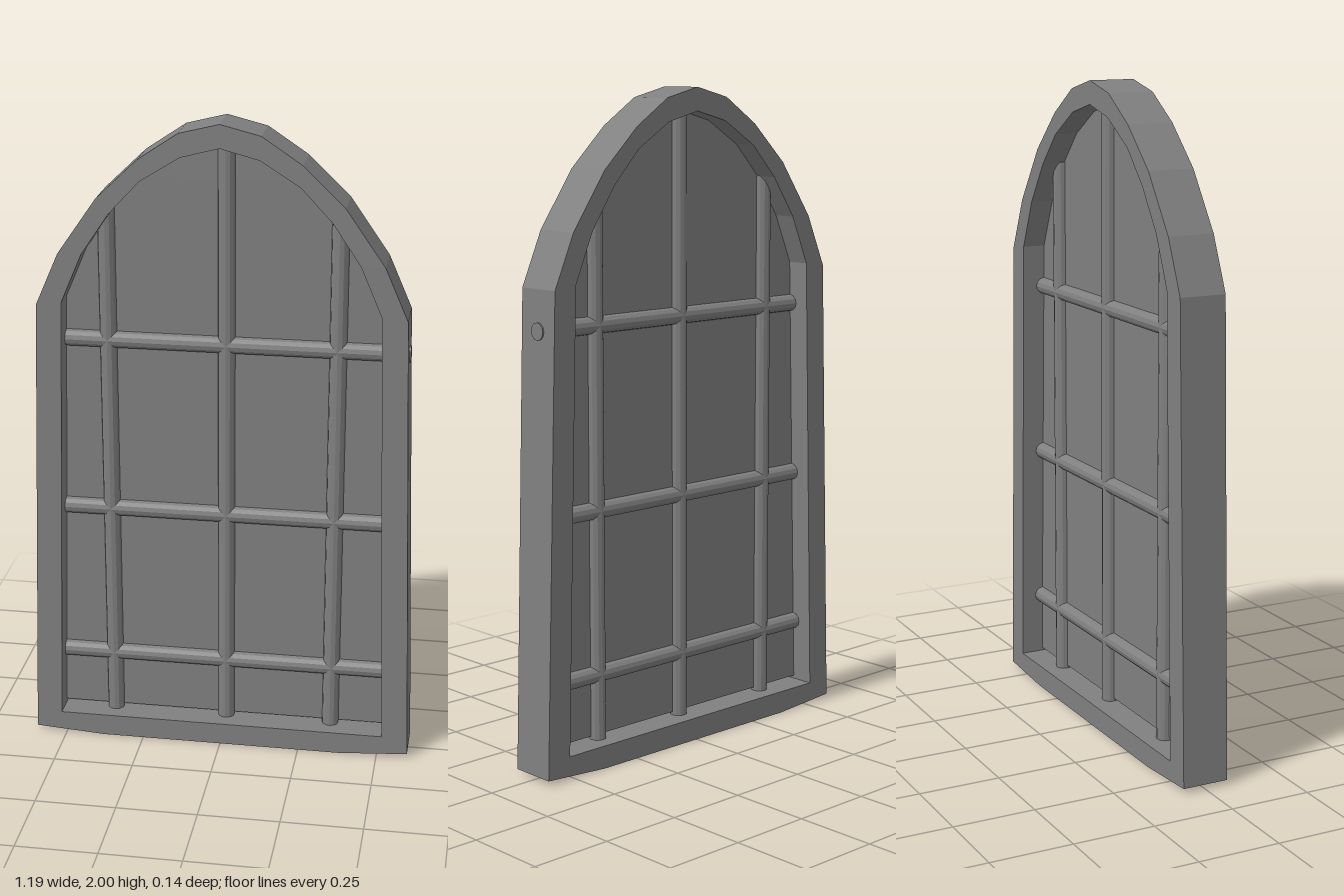
import * as THREE from 'three';

const DEPTH = 0.144;
const BAR_RADIUS = 0.026;

// Right half of each outline, from the foot up to the apex
const OUTER = [[0.38, 0], [0.597, 0.015], [0.553, 1.44], [0.483, 1.6], [0.365, 1.77], [0.24, 1.89], [0.12, 1.97], [0, 2]];
const INNER = [[0.515, 0.07], [0.476, 1.45], [0.412, 1.6], [0.328, 1.725], [0.235, 1.825], [0.115, 1.9], [0, 1.93]];
const PANE = [[0.515, 0.08], ...INNER.slice(1)];

// Mirror a half outline into a closed loop
function mirrored(half) {
  const left = half.slice(0, -1).reverse().map(([x, y]) => [-x, y]);
  return [...half, ...left].map(([x, y]) => new THREE.Vector2(x, y));
}

export function createModel() {
  const group = new THREE.Group();
  group.name = 'archedWindow';
  const grey = new THREE.MeshStandardMaterial({ color: 0x808080, side: THREE.DoubleSide, flatShading: true });
  grey.name = 'grey';

  function add(geometry, name) {
    const mesh = new THREE.Mesh(geometry, grey);
    mesh.name = name;
    group.add(mesh);
    return mesh;
  }

  // Pointed-arch frame with its opening
  const frameShape = new THREE.Shape(mirrored(OUTER));
  frameShape.holes.push(new THREE.Path(mirrored(INNER)));
  const frame = new THREE.ExtrudeGeometry(frameShape, { depth: DEPTH, bevelEnabled: false });
  frame.translate(0, 0, -DEPTH / 2);
  add(frame, 'frame');

  // Thin pane, stopping just above the sill
  add(new THREE.ShapeGeometry(new THREE.Shape(mirrored(PANE))), 'pane');

  // Upright bars: x, top
  for (const [x, top] of [[-0.35, 1.73], [0.01, 1.95], [0.345, 1.73]]) {
    const bar = new THREE.CylinderGeometry(BAR_RADIUS, BAR_RADIUS, top - 0.05, 12);
    add(bar, 'uprightBar').position.set(x, (top + 0.05) / 2, 0);
  }

  // Cross bars: y, left end, right end (the top one pokes through the frame)
  for (const [y, x0, x1] of [[0.27, -0.515, 0.515], [0.77, -0.5, 0.5], [1.32, -0.485, 0.561]]) {
    const bar = new THREE.CylinderGeometry(BAR_RADIUS, BAR_RADIUS, x1 - x0, 12);
    bar.rotateZ(Math.PI / 2);
    add(bar, 'crossBar').position.set((x0 + x1) / 2, y, 0);
  }

  return group;
}
